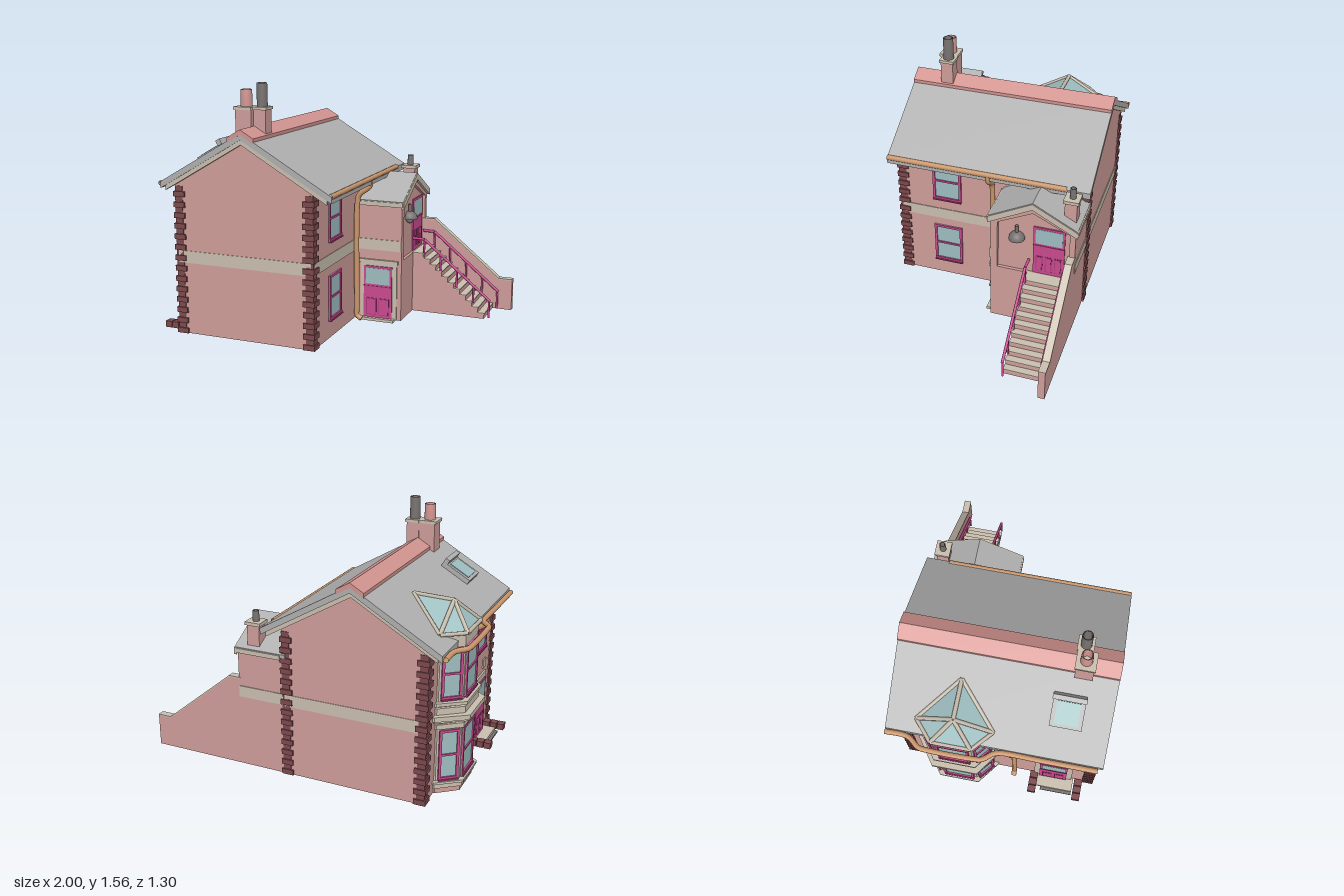
import * as THREE from 'three';

const mat = (name, color, double) => {
  const m = new THREE.MeshStandardMaterial({ color });
  m.name = name;
  if (double) m.side = THREE.DoubleSide;
  return m;
};

export function createModel() {
  const M = {
    wall: mat('pink wall', 0xcf9e9a),
    stone: mat('beige stone', 0xcbc0b0),
    slate: mat('grey slate', 0xb0b0b0),
    quoin: mat('maroon brick', 0x7e4a4e),
    paint: mat('magenta paint', 0xcb4a90),
    glass: mat('glass', 0x9fbfc1, true),
    pipe: mat('copper pipe', 0xcb976c, true),
    iron: mat('dark iron', 0x777270, true),
    ridge: mat('ridge tile', 0xd29490),
    shade: mat('dark magenta panel', 0xa83a78),
  };
  const root = new THREE.Group();
  root.name = 'house';

  const add = (name, geo, m, parent = root) => {
    const mesh = new THREE.Mesh(geo, m);
    mesh.name = name;
    parent.add(mesh);
    return mesh;
  };
  // box given by its min and max corners
  const box = (name, m, x0, x1, y0, y1, z0, z1, parent) => {
    const b = add(name, new THREE.BoxGeometry(x1 - x0, y1 - y0, z1 - z0), m, parent);
    b.position.set((x0 + x1) / 2, (y0 + y1) / 2, (z0 + z1) / 2);
    return b;
  };
  const shape = (pts) => new THREE.Shape(pts.map(([x, y]) => new THREE.Vector2(x, y)));
  const extrude = (name, m, s, z0, z1, parent) => {
    const e = add(name, new THREE.ExtrudeGeometry(s, { depth: z1 - z0, bevelEnabled: false }), m, parent);
    e.position.z = z0;
    return e;
  };
  // inverted V strip of vertical thickness t
  const chevron = (xl, xr, ax, ay, slope, t) => {
    const yl = ay - (ax - xl) * slope, yr = ay - (xr - ax) * slope;
    return shape([[xl, yl - t], [ax, ay - t], [xr, yr - t], [xr, yr], [ax, ay], [xl, yl]]);
  };
  const v = (p) => new THREE.Vector3(...p);
  const tube = (name, m, pts, r) => add(name,
    new THREE.TubeGeometry(new THREE.CatmullRomCurve3(pts.map(v), false, 'centripetal'), pts.length * 8, r, 10), m);
  const bar = (name, m, a, b, r, sides = 6) => {
    const A = v(a), B = v(b);
    const c = add(name, new THREE.CylinderGeometry(r, r, A.distanceTo(B), sides), m);
    c.position.copy(A).lerp(B, 0.5);
    c.quaternion.setFromUnitVectors(new THREE.Vector3(0, 1, 0), B.sub(A).normalize());
    return c;
  };
  const place = (name, x, y, z, ry) => {
    const g = new THREE.Group();
    g.name = name;
    g.position.set(x, y, z);
    g.rotation.y = ry;
    root.add(g);
    return g;
  };
  const R = Math.PI / 2;

  // sash window facing local +z, standing on its sill
  const sash = (name, x, y, z, ry, w, h) => {
    const g = place(name, x, y, z, ry), a = w / 2, f = 0.016;
    box('pane', M.glass, -a, a, 0, h, 0, 0.004, g);
    for (const s of [-1, 1]) box('stile', M.paint, s * (a - f / 2) - f / 2, s * (a - f / 2) + f / 2, 0, h, 0, 0.012, g);
    box('topRail', M.paint, -a, a, h - f, h, 0, 0.012, g);
    box('bottomRail', M.paint, -a, a, 0, f, 0, 0.014, g);
    box('sill', M.shade, -a, a, -0.006, 0.003, 0, 0.02, g);
    box('meetingRail', M.paint, -a, a, h / 2 - 0.006, h / 2 + 0.006, 0, 0.012, g);
  };
  // half-glazed panelled door
  const door = (name, x, y, z, ry, w, h, panels) => {
    const g = place(name, x, y, z, ry), a = w / 2, split = h * 0.62;
    box('leaf', M.paint, -a, a, 0, h, 0, 0.008, g);
    box('pane', M.glass, -a + 0.014, a - 0.014, split + 0.012, h - 0.014, 0, 0.01, g);
    box('lockRail', M.shade, -a, a, split - 0.005, split, 0, 0.011, g);
    const pw = (w - 0.02) / panels;
    for (let i = 0; i < panels; i++) {
      const c = -a + 0.01 + pw * (i + 0.5);
      box('panelShadowGap', M.shade, c - pw / 2 + 0.008, c + pw / 2 - 0.008, 0.02, split * 0.62, 0, 0.01, g);
      box('panel', M.paint, c - pw / 2 + 0.013, c + pw / 2 - 0.013, 0.025, split * 0.62 - 0.005, 0, 0.012, g);
    }
  };

  // main house
  extrude('mainWalls', M.wall, shape([[-0.81, 0.02], [0.09, 0.02], [0.09, 0.97], [-0.355, 1.235], [-0.81, 0.97]]), -0.62, 0.62);
  extrude('mainRoof', M.slate, chevron(-0.9, 0.215, -0.355, 1.285, 0.583, 0.04), -0.655, 0.645);
  extrude('ridgeTiles', M.ridge, chevron(-0.44, -0.27, -0.355, 1.306, 0.583, 0.03), -0.656, 0.646);
  for (const s of [-1, 1])
    extrude('bargeBoard', M.stone, chevron(-0.87, 0.185, -0.355, 1.246, 0.583, 0.03), s * 0.63 - 0.01, s * 0.63 + 0.01);

  // string course
  for (const s of [-1, 1]) box('stringCourse', M.stone, -0.8, 0.08, 0.47, 0.545, s * 0.62 - 0.004, s * 0.62 + 0.004);
  box('stringCourse', M.stone, 0.086, 0.094, 0.47, 0.545, -0.09, 0.61);

  // corner quoins of alternating length
  for (const [cx, sx] of [[-0.81, -1], [0.09, 1]]) for (const sz of [-1, 1])
    for (let i = 0; i < 28; i++) {
      const long = i % 2 === 0, w = long ? 0.062 : 0.046, out = long ? 0.012 : 0.004;
      const y = 0.02 + i * 0.033, d = (w + out) / 2;
      const q = add('quoin', new THREE.BoxGeometry(2 * d, 0.033, 2 * d), M.quoin);
      q.position.set(cx + sx * (out - d), y + 0.0165, sz * (0.62 + out - d));
    }

  // chimney stacks with open pots
  const pot = (m, x, z, r, y0, y1) => {
    const t = r * 0.7, pts = [[r, y0], [r * 0.95, y1], [t, y1], [t, y0]].map(([a, b]) => new THREE.Vector2(a, b));
    add('chimneyPot', new THREE.LatheGeometry(pts, 20), m).position.set(x, 0, z);
  };
  box('chimneyStack', M.wall, -0.465, -0.36, 1.17, 1.405, 0.385, 0.49);
  box('chimneyStack', M.wall, -0.362, -0.28, 1.17, 1.405, 0.38, 0.46);
  box('chimneyCap', M.stone, -0.475, -0.36, 1.402, 1.42, 0.378, 0.497);
  box('chimneyCap', M.stone, -0.362, -0.272, 1.402, 1.42, 0.372, 0.468);
  pot(M.ridge, -0.415, 0.437, 0.036, 1.42, 1.52);
  pot(M.iron, -0.32, 0.42, 0.033, 1.42, 1.56);

  // skylight lying on the left slope
  const sky = place('skylight', -0.64, 1.125, 0.385, 0);
  sky.rotation.z = Math.atan(0.583);
  box('skylightFrame', M.slate, -0.1, 0.1, -0.01, 0.025, -0.095, 0.095, sky);
  box('skylightPane', M.glass, -0.08, 0.06, 0.022, 0.03, -0.07, 0.07, sky);
  box('skylightHood', M.slate, 0.07, 0.1, 0.02, 0.055, -0.1, 0.1, sky);

  // windows on both long walls
  for (const y of [0.135, 0.625]) sash('sideWindow', 0.09, y, 0.297, R, 0.19, 0.28);
  sash('entranceWindow', -0.81, 0.625, 0.36, -R, 0.19, 0.28);

  // street entrance on the left wall
  box('entranceSurround', M.stone, -0.822, -0.81, 0.02, 0.44, 0.235, 0.485);
  door('entranceDoor', -0.822, 0.03, 0.36, -R, 0.18, 0.375, 2);
  for (const z of [0.255, 0.455]) box('wallPlaque', M.stone, -0.818, -0.81, 0.47, 0.53, z - 0.028, z + 0.028);
  box('entranceStep', M.stone, -0.9, -0.81, 0.008, 0.03, 0.26, 0.5);
  box('pavingSlab', M.iron, -0.92, -0.81, 0, 0.01, 0.29, 0.5);
  for (const z of [0.235, 0.535]) for (let i = 0; i < 3; i++)
    box('edgingBrick', M.quoin, -0.953 + i * 0.048, -0.91 + i * 0.048, 0.015, 0.055, z - 0.026, z + 0.026);

  // bay: half-octagon tiers grown outward by d
  const bayZ = -0.25;
  const tier = (name, m, d, y0, y1) => {
    const s = shape([[-0.8, -0.21 - d], [-0.8, 0.21 + d], [-0.82, 0.21 + d], [-0.935 - d, 0.115 + d * 0.5], [-0.935 - d, -0.115 - d * 0.5], [-0.82, -0.21 - d]]);
    const e = extrude(name, m, s, 0, y1 - y0);
    e.rotation.x = -R;
    e.position.set(0, y0, bayZ);
  };
  tier('bayPlinth', M.wall, 0.005, 0.02, 0.06);
  tier('bayBase', M.stone, 0.018, 0.055, 0.085);
  tier('bayLowerSill', M.stone, 0.03, 0.085, 0.1);
  tier('bayBody', M.stone, 0, 0.1, 1.01);
  tier('bayLowerHead', M.stone, 0.015, 0.435, 0.465);
  tier('bayCornice', M.stone, 0.04, 0.485, 0.5);
  tier('bayCorniceTop', M.stone, 0.056, 0.5, 0.53);
  tier('bayApron', M.stone, 0.02, 0.53, 0.57);
  tier('bayUpperSill', M.stone, 0.032, 0.585, 0.605);
  for (const [y, h] of [[0.108, 0.318], [0.62, 0.31]]) {
    sash('bayFrontWindow', -0.936, y, bayZ, -R, 0.2, h);
    for (const s of [-1, 1]) {
      const ang = Math.atan2(-0.095, s * 0.115);
      sash('baySideWindow', -0.8785, y, bayZ + s * 0.1635, ang, 0.125, h);
    }
  }

  // glazed roof over the bay
  const A = [-0.82, 1.15, bayZ], T = [-0.575, 1.158, bayZ];
  const P = (s) => [-0.945, 1.012, bayZ + s * 0.12], Q = (s) => [-0.82, 1.016, bayZ + s * 0.23];
  const tris = [A, P(-1), P(1)];
  for (const s of [-1, 1]) tris.push(A, Q(s), P(s), A, T, Q(s));
  const gg = new THREE.BufferGeometry();
  gg.setAttribute('position', new THREE.Float32BufferAttribute(tris.flat(), 3));
  gg.computeVertexNormals();
  add('bayGlassRoof', gg, M.glass);
  const bars = [[A, T], [P(-1), P(1)]];
  for (const s of [-1, 1]) bars.push([A, P(s)], [A, Q(s)], [P(s), Q(s)], [Q(s), T]);
  for (const [a, b] of bars) bar('glazingBar', M.stone, a, b, 0.013);

  // gutters and downpipes
  tube('rightGutter', M.pipe, [[0.207, 0.95, -0.51], [0.207, 0.95, 0.645]], 0.016);
  tube('leftGutter', M.pipe, [[-0.918, 0.95, 0.615], [-0.918, 0.95, 0.3], [-0.918, 0.95, 0.04], [-0.93, 0.95, 0], [-0.975, 0.95, -0.06], [-0.982, 0.95, -0.12],
    [-0.982, 0.95, -0.38], [-0.975, 0.95, -0.44], [-0.93, 0.95, -0.5], [-0.918, 0.95, -0.54], [-0.918, 0.95, -0.655]], 0.016);
  tube('rightDownpipe', M.pipe, [[0.205, 0.95, -0.015], [0.2, 0.9, -0.015], [0.13, 0.84, -0.015], [0.118, 0.78, -0.015], [0.118, 0.1, -0.015], [0.118, 0.05, -0.015], [0.15, 0.03, -0.015]], 0.017);
  tube('leftDownpipe', M.pipe, [[-0.918, 0.95, 0.1], [-0.905, 0.9, 0.1], [-0.84, 0.85, 0.1], [-0.828, 0.78, 0.1], [-0.828, 0.1, 0.1], [-0.828, 0.05, 0.1], [-0.86, 0.03, 0.1]], 0.017);

  // rear side extension, open underneath
  box('extensionBackWall', M.wall, 0.08, 0.39, 0.02, 0.8, -0.62, -0.6);
  box('extensionFrontWall', M.wall, 0.08, 0.39, 0.02, 0.8, -0.11, -0.09);
  for (const z of [-0.622, -0.088]) box('extensionStringCourse', M.stone, 0.09, 0.388, 0.475, 0.545, z - 0.003, z + 0.003);
  const ext = place('extensionGable', 0, 0, 0, R);
  const end = shape([[0.09, 0.02], [0.62, 0.02], [0.62, 0.77], [0.355, 0.91], [0.09, 0.77]]);
  end.holes.push(new THREE.Path([[0.135, 0.415], [0.135, 0.755], [0.355, 0.865], [0.585, 0.755], [0.585, 0.415]].map(([x, y]) => new THREE.Vector2(x, y))));
  extrude('gableSurround', M.wall, end, 0.365, 0.39, ext);
  extrude('recessedWall', M.wall, shape([[0.1, 0.4], [0.61, 0.4], [0.61, 0.76], [0.355, 0.89], [0.1, 0.76]]), 0.355, 0.37, ext);
  extrude('extensionRoof', M.slate, chevron(0.078, 0.632, 0.355, 0.945, 0.53, 0.03), 0.07, 0.4, ext);
  extrude('extensionBargeBoard', M.stone, chevron(0.075, 0.635, 0.355, 0.942, 0.53, 0.042), 0.39, 0.407, ext);
  for (const z of [-0.632, -0.078]) box('extensionFascia', M.stone, 0.1, 0.4, 0.765, 0.793, z - 0.008, z + 0.008);
  box('smallStack', M.wall, 0.25, 0.33, 0.78, 0.942, -0.605, -0.53);
  box('smallStackCap', M.stone, 0.24, 0.34, 0.94, 0.96, -0.615, -0.52);
  pot(M.iron, 0.288, -0.568, 0.02, 0.96, 1.025);
  door('upperDoor', 0.372, 0.42, -0.457, R, 0.195, 0.345, 3);

  // ground floor door with stone surround
  box('lowerDoorSurround', M.stone, 0.118, 0.362, 0.02, 0.41, -0.09, -0.082);
  box('lowerDoorLintel', M.stone, 0.11, 0.37, 0.39, 0.412, -0.09, -0.074);
  door('lowerDoor', 0.237, 0.025, -0.082, 0, 0.19, 0.345, 2);
  box('lowerDoorStep', M.stone, 0.13, 0.35, 0.01, 0.028, -0.09, -0.05);

  // wall lamp
  const dome = add('lampShade', new THREE.SphereGeometry(0.05, 20, 8, 0, Math.PI * 2, 0, R), M.iron);
  dome.position.set(0.388, 0.66, -0.257);
  bar('lampStem', M.iron, [0.388, 0.7, -0.257], [0.388, 0.755, -0.257], 0.01, 10);
  add('lampBulb', new THREE.SphereGeometry(0.022, 14, 10), M.iron).position.set(0.388, 0.65, -0.257);

  // outside stairs
  const N = 11, x0 = 0.465, run = 0.041, rise = 0.036, pts = [[0.385, 0.02], [0.385, 0.412], [x0, 0.412]];
  box('landing', M.stone, 0.385, x0 + 0.004, 0.411, 0.418, -0.575, -0.328);
  for (let i = 1; i < N; i++) {
    const y = 0.412 - i * rise, x = x0 + (i - 1) * run;
    pts.push([x, y], [x + run, y]);
    box('tread', M.stone, x, x + run + 0.004, y - 0.001, y + 0.006, -0.575, -0.328);
  }
  pts.push([x0 + (N - 1) * run, 0.02]);
  extrude('stairBody', M.wall, shape(pts), -0.585, -0.33);

  // stair side wall and coping
  const top = [[0.38, 0.59], [0.46, 0.59], [0.91, 0.222], [1, 0.222]];
  extrude('stairWall', M.wall, shape([[0.38, 0.02], ...top.slice().reverse().map(([x, y]) => [x, y]).flatMap((p, i) => i ? [p] : [[1, 0.02], p])]), -0.62, -0.578);
  extrude('stairCoping', M.stone, shape([...top, ...top.slice().reverse().map(([x, y]) => [x, y + 0.008])]), -0.622, -0.576);

  // handrails
  for (const z of [-0.335, -0.568]) {
    const a = [0.385, 0.513, z], b = [0.465, 0.511, z], c = [0.912, 0.14, z];
    bar('handrail', M.paint, a, b, 0.009, 8);
    bar('handrail', M.paint, b, c, 0.009, 8);
    for (const t of [0, 0.25, 0.5, 0.75, 0.985]) {
      const x = b[0] + (c[0] - b[0]) * t, y = b[1] + (c[1] - b[1]) * t;
      bar('baluster', M.paint, [x, y, z], [x, y - 0.115, z], 0.007, 8);
    }
  }
  return root;
}
